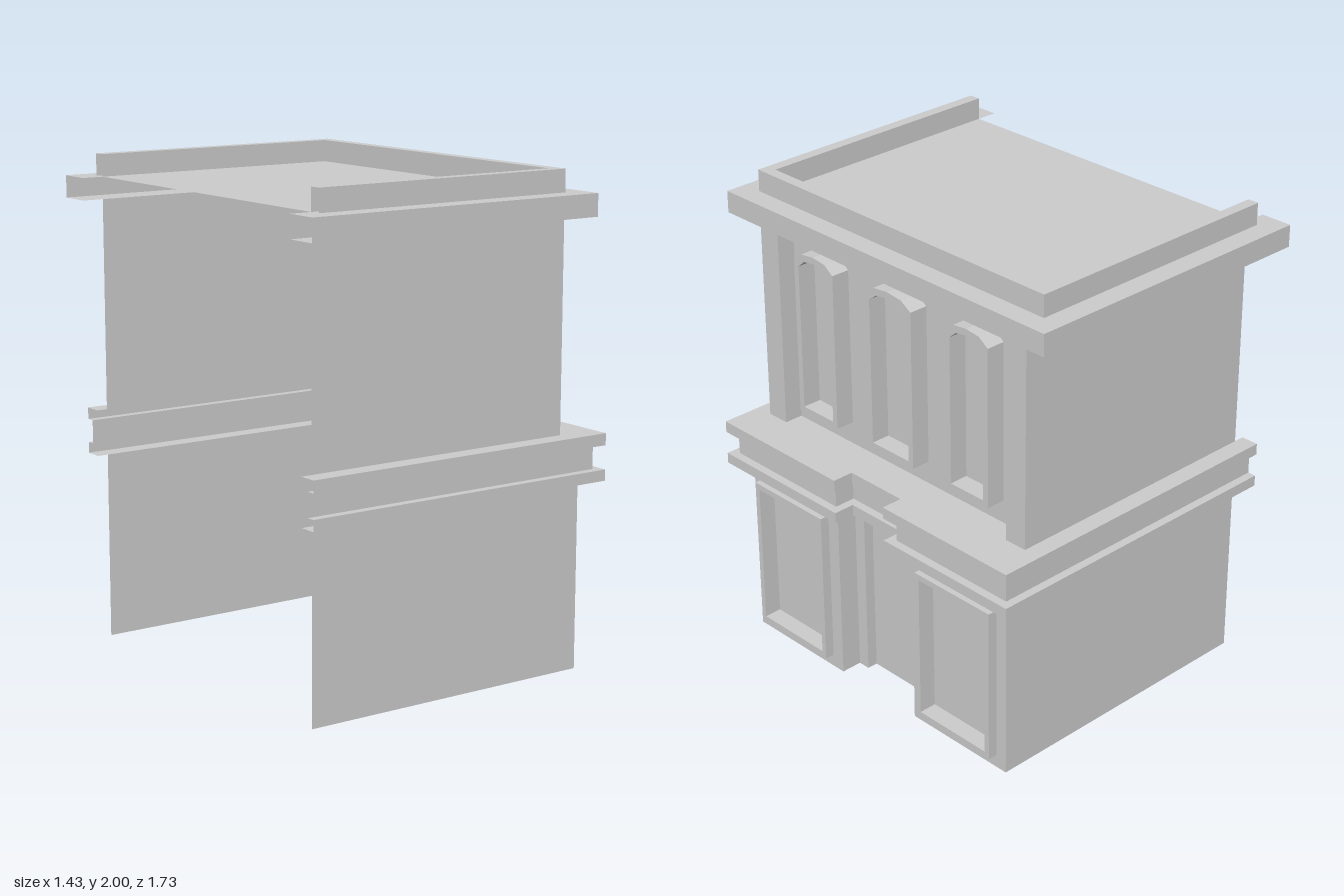
import * as THREE from 'three';

const material = new THREE.MeshStandardMaterial({ color: 0xcccccc, flatShading: true, side: THREE.DoubleSide });

// Sweeps an open [offset, y] profile along a right-angled [x, z] plan path, with mitred corners
function sweep(path, profile) {
  const normals = path.slice(1).map(([x, z], i) => {
    const dx = x - path[i][0], dz = z - path[i][1], len = Math.hypot(dx, dz);
    return [-dz / len, dx / len];
  });
  const point = (i, j) => {
    const a = normals[i - 1], b = normals[i];
    const n = a && b ? [a[0] + b[0], a[1] + b[1]] : a || b;
    const [offset, y] = profile[j];
    return [path[i][0] + n[0] * offset, y, path[i][1] + n[1] * offset];
  };
  const positions = [];
  for (let i = 0; i < path.length - 1; i++) {
    for (let j = 0; j < profile.length - 1; j++) {
      const a = point(i, j), b = point(i + 1, j), c = point(i + 1, j + 1), d = point(i, j + 1);
      positions.push(...a, ...b, ...c, ...a, ...c, ...d);
    }
  }
  const geometry = new THREE.BufferGeometry();
  geometry.setAttribute('position', new THREE.Float32BufferAttribute(positions, 3));
  geometry.computeVertexNormals();
  return geometry;
}

// Outline drawn on the facade: u runs along -z, v is up
const outline = (points) => new THREE.Shape(points.map(([u, v]) => new THREE.Vector2(u, v)));
const rect = (u0, u1, v0, v1) => outline([[u0, v0], [u1, v0], [u1, v1], [u0, v1]]);

// Rectangle with a shallow faceted arch on top
function arched(centre, half, v0, spring, top) {
  return outline([[-1, v0], [1, v0], [1, spring], [0.6, top - 0.008], [0, top], [-0.6, top - 0.008], [-1, spring]]
    .map(([s, v]) => [centre + s * half, v]));
}

// Flat plate, or solid when depth is given, facing +x
function facing(shape, x, depth = 0) {
  const geometry = depth
    ? new THREE.ExtrudeGeometry(shape, { depth, bevelEnabled: false })
    : new THREE.ShapeGeometry(shape);
  return geometry.rotateY(Math.PI / 2).translate(x, 0, 0);
}

// Horizontal plate from [x, z] points, facing up
function deck(points, y) {
  return new THREE.ShapeGeometry(outline(points.map(([x, z]) => [x, -z]))).rotateX(-Math.PI / 2).translate(0, y, 0);
}

// Mirrors a half path across z = 0 to complete it
const mirrored = (half) => [...half, ...half.map(([x, z]) => [x, -z]).reverse()];

export function createModel() {
  const model = new THREE.Group();
  const add = (name, geometry) => {
    const mesh = new THREE.Mesh(geometry, material);
    mesh.name = name;
    model.add(mesh);
  };

  const back = -0.63, side = 0.73, front = 0.64, niche = 0.55, nicheHalf = 0.215;
  const upperFront = 0.545, upperWall = 0.465, beltTop = 0.96;

  // Ground floor: side walls, shop windows and niche cheeks
  const lower = [[0, 0], [0, 0.77]];
  add('lowerLeftWall', sweep([[back, side], [front, side]], lower));
  add('lowerRightWall', sweep([[front, -side], [back, -side]], lower));
  add('nicheLeftCheek', sweep([[front, nicheHalf], [niche, nicheHalf]], lower));
  add('nicheRightCheek', sweep([[niche, -nicheHalf], [front, -nicheHalf]], lower));
  for (const [name, s] of [['left', -1], ['right', 1]]) {
    const span = (a, b, v0, v1) => rect(Math.min(s * a, s * b), Math.max(s * a, s * b), v0, v1);
    const opening = span(0.295, 0.655, 0.08, 0.69);
    const wall = span(nicheHalf, side, 0, 0.77);
    wall.holes.push(opening);
    add(name + 'ShopWall', facing(wall, front));
    const frame = span(0.273, 0.678, 0.055, 0.715);
    frame.holes.push(opening);
    add(name + 'ShopWindowFrame', facing(frame, 0.605, 0.075));
    add(name + 'ShopWindowPanel', facing(opening, 0.605));
  }

  // Entrance set back inside the niche
  const doorway = outline([[-nicheHalf, 0], [-0.163, 0], [-0.163, 0.71], [0.163, 0.71], [0.163, 0],
    [nicheHalf, 0], [nicheHalf, 0.77], [-nicheHalf, 0.77]]);
  add('doorSurround', facing(doorway, 0.505, niche - 0.505));
  add('door', facing(rect(-0.163, 0.163, 0, 0.71), 0.505));

  // Belt course following the niche, with a deck on top
  const beltPath = mirrored([[-0.675, side], [front, side], [front, nicheHalf], [niche, nicheHalf]]);
  add('beltCourse', sweep(beltPath, [[0, 0.77], [0.075, 0.77], [0.075, 0.815], [0.04, 0.815],
    [0.04, 0.912], [0.075, 0.912], [0.075, beltTop], [0, beltTop]]));
  add('beltDeck', deck(mirrored([[upperWall, side], [front, side], [front, nicheHalf], [niche, nicheHalf]]), beltTop));

  // Upper floor: walls, corner pilasters and recessed facade
  add('upperWalls', sweep(
    mirrored([[back, side], [upperFront, side], [upperFront, 0.63], [upperWall, 0.63]]),
    [[0, beltTop], [0, 1.82]]));
  for (const [name, centre, half] of [['left', -0.423, 0.112], ['middle', 0, 0.127], ['right', 0.423, 0.112]]) {
    const frame = arched(centre, half, 1.055, 1.715, 1.755);
    frame.holes.push(arched(centre, half - 0.025, 1.078, 1.69, 1.728));
    add(name + 'UpperWindowFrame', facing(frame, upperWall, 0.08));
  }

  // Cornice, parapet and roof
  const roofX = 0.46;
  add('cornice', sweep(mirrored([[-0.72, side], [roofX, side]]),
    [[0, 1.82], [0.135, 1.82], [0.135, 1.91], [0, 1.91]]));
  add('parapet', sweep(mirrored([[back, side], [roofX, side]]),
    [[0.047, 1.91], [0.047, 2], [0, 2], [0, 1.91]]));
  add('roof', deck(mirrored([[back, side], [roofX, side]]), 1.91));

  return model;
}
